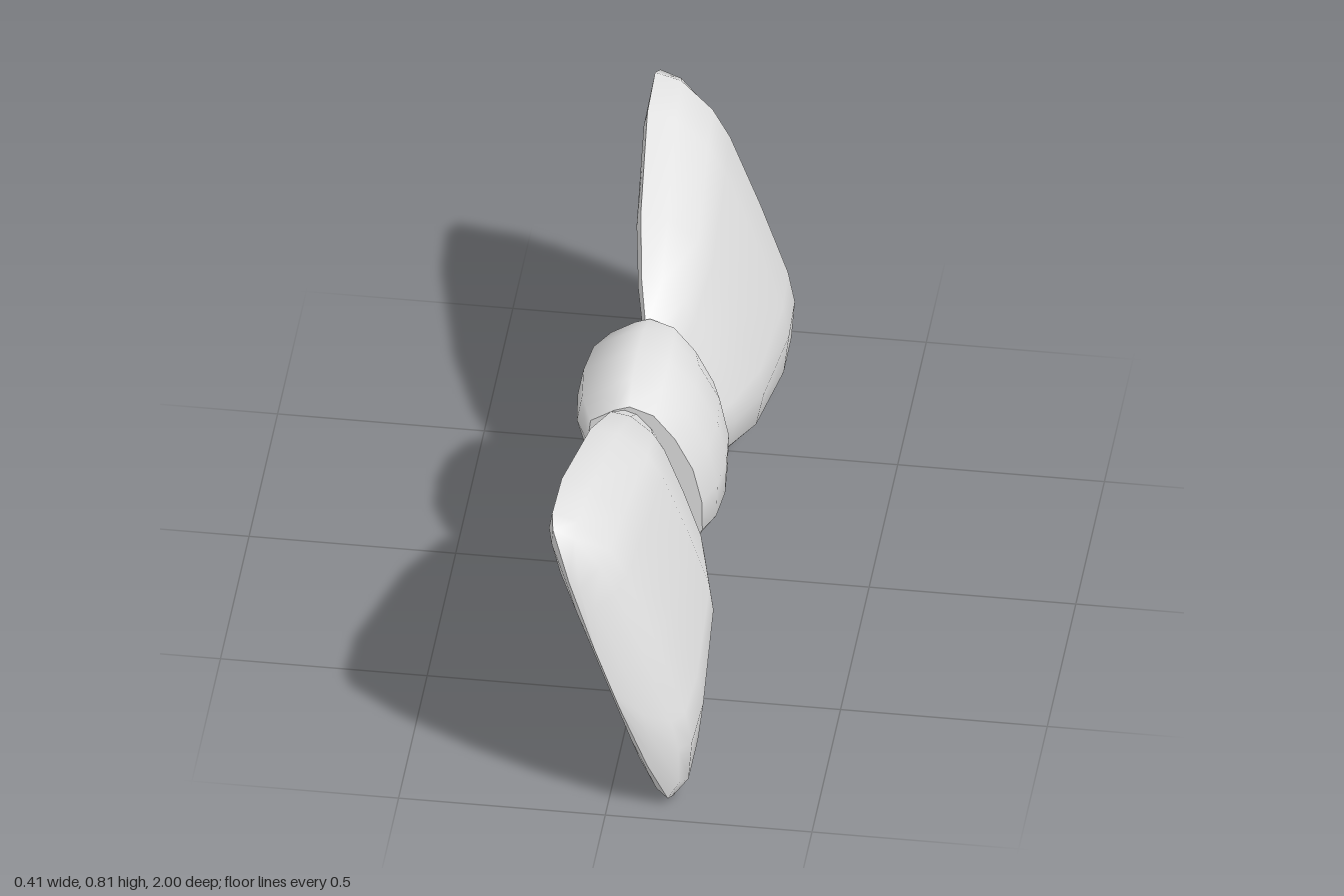
import * as THREE from 'three';

const fabric = new THREE.MeshStandardMaterial({ color: 0xe2e2e2 });
fabric.name = 'pale grey fabric';

// Smooth surface through rows of points; closed joins each row end to its start
function skin(rows, closed = false) {
  const n = rows[0].length, index = [];
  for (let i = 0; i < rows.length - 1; i++) {
    for (let j = 0; j < (closed ? n : n - 1); j++) {
      const k = (j + 1) % n;
      const a = i * n + j, b = a + n, c = i * n + k, d = c + n;
      index.push(a, b, c, c, b, d);
    }
  }
  const g = new THREE.BufferGeometry();
  g.setAttribute('position', new THREE.Float32BufferAttribute(rows.flat(2), 3));
  g.setIndex(index);
  g.computeVertexNormals();
  return g;
}

function part(name, geometry) {
  const mesh = new THREE.Mesh(geometry, fabric);
  mesh.name = name;
  return mesh;
}

// Mirror a half profile [depth, height] listed from rim to middle
const mirrored = half => [...half, ...half.slice(0, -1).reverse().map(([d, u]) => [d, -u])];

// Wing stations: z, half height, front bulge, back bulge
const stations = [
  [0.10, 0.16, 0.03, 0.015], [0.17, 0.20, 0.045, 0.02], [0.27, 0.27, 0.088, 0.027],
  [0.44, 0.345, 0.122, 0.034], [0.75, 0.424, 0.122, 0.036], [0.90, 0.431, 0.112, 0.034],
  [0.94, 0.41, 0.085, 0.026], [0.98, 0.28, 0.04, 0.012], [1.0, 0.09, 0, 0],
];
const frontProfile = mirrored([[0, 1], [0.48, 0.91], [0.88, 0.68], [1, 0.48], [1.03, 0]]);
const backProfile = mirrored([[0, 1], [-0.65, 0.91], [-1, 0.69], [-1.02, 0]]).reverse();

function makeWing(name) {
  const wing = new THREE.Group();
  wing.name = name;
  wing.add(
    part('puffedFront', skin(stations.map(([z, h, f]) => frontProfile.map(([d, u]) => [d * f, u * h, z])))),
    part('flatBack', skin(stations.map(([z, h, , b]) => backProfile.map(([d, u]) => [d * b, u * h, z])))),
  );
  return wing;
}

// Knot outline: front from top to bottom, then back from bottom to top
const knotFront = mirrored([[0.02, 0.245], [0.085, 0.2], [0.122, 0.11], [0.138, 0]]);
const knotBack = mirrored([[-0.033, 0.245], [-0.125, 0.228], [-0.165, 0.16], [-0.177, 0]]).reverse();
const knotProfile = [...knotFront, ...knotBack];
const knotEnd = [0.18, 0.73, 0.87];

function makeKnot() {
  const knot = new THREE.Group();
  knot.name = 'knot';
  const [endZ, endD, endU] = knotEnd;
  const sections = [[-endZ, endD, endU], [-0.1, 0.93, 0.97], [0, 1, 1], [0.1, 0.93, 0.97], knotEnd];
  knot.add(part('knotBand', skin(
    sections.map(([z, sd, su]) => knotProfile.map(([d, u]) => [d * sd, u * su, z])), true)));
  // Flat ends
  const outline = new THREE.Shape(knotProfile.map(([d, u]) => new THREE.Vector2(d * endD, u * endU)));
  for (const side of [1, -1]) {
    const cap = part('knotEnd', new THREE.ShapeGeometry(outline));
    cap.position.z = side * endZ;
    if (side < 0) cap.rotation.x = Math.PI;
    knot.add(cap);
  }
  return knot;
}

export function createModel() {
  const model = new THREE.Group();
  model.name = 'bowTie';
  const bow = new THREE.Group();
  bow.name = 'tiltedBow';
  const frontWing = makeWing('frontWing');
  const rearWing = makeWing('rearWing');
  rearWing.rotation.x = Math.PI;
  bow.add(frontWing, rearWing, makeKnot());
  // Lean the whole bow back
  bow.rotation.z = 0.346;
  bow.position.set(0.004, 0.408, 0);
  model.add(bow);
  return model;
}
